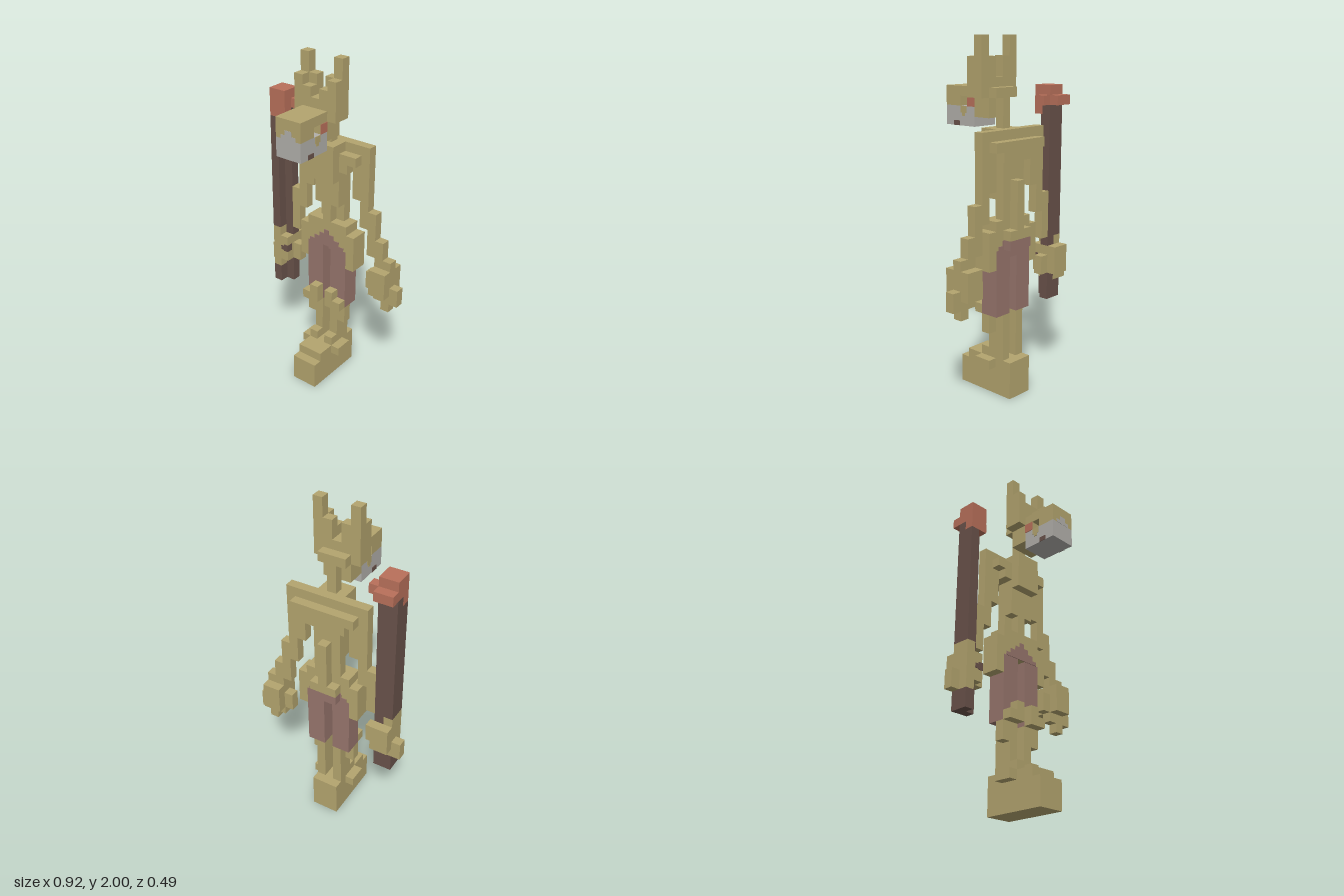
import * as THREE from 'three';

const U = 2 / 37; // edge of one block

const paint = (name, color) => {
  const m = new THREE.MeshStandardMaterial({ color });
  m.name = name;
  return m;
};

export function createModel() {
  const model = new THREE.Group();
  model.name = 'blockFigure';
  const tan = paint('tan', 0xb3a46e);
  const grey = paint('grey', 0xb1afaa);
  const brown = paint('brown', 0x69524a);
  const red = paint('red', 0xb8705a);
  const mauve = paint('mauve', 0x97756c);

  const part = (name) => {
    const g = new THREE.Group();
    g.name = name;
    model.add(g);
    return g;
  };
  // box given by its limits in blocks
  const box = (g, name, mat, x0, x1, y0, y1, z0, z1) => {
    const geo = new THREE.BoxGeometry((x1 - x0) * U, (y1 - y0) * U, (z1 - z0) * U);
    const mesh = new THREE.Mesh(geo, mat);
    mesh.name = name;
    mesh.position.set((x0 + x1) / 2 * U, (y0 + y1) / 2 * U, (z0 + z1) / 2 * U);
    g.add(mesh);
  };
  // the same box on one side (s = 1 left, -1 right)
  const side = (g, s, name, mat, x0, x1, ...r) =>
    s > 0 ? box(g, name, mat, x0, x1, ...r) : box(g, name, mat, -x1, -x0, ...r);
  const both = (...a) => [1, -1].forEach((s) => side(a[0], s, ...a.slice(1)));

  // stepped base
  const base = part('base');
  box(base, 'baseBlock', tan, -1.5, 1.5, 0, 3, -4.5, 2.5);
  box(base, 'baseStep', tan, -1.5, 1.5, 3, 4, -4.5, 1.5);
  both(base, 'baseStub', tan, 1.5, 2.5, 3, 4, -2.5, -0.5);

  // legs with trousers
  const legs = part('legs');
  both(legs, 'ankle', tan, 0.5, 1.5, 4, 5, -1.5, -0.5);
  both(legs, 'shin', tan, 0.5, 1.5, 4, 9, -3.5, -1.5);
  both(legs, 'calf', tan, 1.5, 2.5, 7, 9, -2.5, -1.5);
  both(legs, 'kneeLower', tan, 0.5, 2.5, 9, 10, -1.5, -0.5);
  both(legs, 'kneeUpper', tan, 0.5, 1.5, 10, 11, -1.5, -0.5);
  both(legs, 'trouserLeg', mauve, 0.5, 2.5, 9, 16, -3.5, -1.5);

  // hips, with the rounded top of the trousers in thin plates
  const hips = part('hips');
  both(hips, 'hipSide', tan, 2.5, 3.5, 14, 18, -3.5, -1.5);
  box(hips, 'crotch', mauve, -0.5, 0.5, 15, 16, -3.5, -2.5);
  box(hips, 'pelvis', tan, -2.5, 2.5, 16, 18, -3.5, -1.5);
  both(hips, 'hipTop', tan, 1.5, 2.5, 18, 19, -3.5, -1.5);
  box(hips, 'waistband', tan, -1.5, 1.5, 18, 19, -3.5, -1.5);
  box(hips, 'seatTop', tan, -1.5, 1.5, 17, 18, -4.5, -3.5);
  box(hips, 'seatBottom', mauve, -1.5, 1.5, 16, 17, -4.5, -3.5);
  [[2.2, 16, 16.4], [1.6, 16.4, 16.9], [0.9, 16.9, 17.4], [0.3, 17.4, 17.9]].forEach(([w, y0, y1]) => {
    box(hips, 'trouserFront', mauve, -w, w, y0, y1, -1.5, -1.42);
    box(hips, 'trouserBack', mauve, -w, w, y0, y1, -3.58, -3.5);
  });

  // torso
  const torso = part('torso');
  box(torso, 'waistBack', tan, -1.5, 1.5, 19, 21, -3.5, -2.5);
  box(torso, 'waistFront', tan, -0.5, 0.5, 19, 21, -2.5, -1.5);
  box(torso, 'belly', tan, -1.5, 1.5, 21, 25, -3.5, -1.5);
  box(torso, 'chest', tan, -1.5, 1.5, 24, 28, -1.5, -0.5);
  box(torso, 'chestCore', tan, -1.5, 1.5, 25, 28, -2.5, -1.5);
  box(torso, 'shoulders', tan, -4.5, 4.5, 25, 28, -3.5, -2.5);
  both(torso, 'collar', tan, 1.5, 3.5, 26, 27, -2.5, -1.5);
  both(torso, 'breast', tan, 1.5, 2.5, 25, 26, -2.5, -1.5);
  box(torso, 'shoulderBlades', tan, -3.5, 3.5, 26, 27, -4.5, -3.5);
  box(torso, 'upperBack', tan, -2.5, 2.5, 25, 26, -4.5, -3.5);
  box(torso, 'spine', tan, -0.5, 0.5, 18, 23, -4.5, -3.5);

  // arms and hands; the right hand grips the staff
  [1, -1].forEach((s) => {
    const arm = part(s > 0 ? 'leftArm' : 'rightArm');
    const add = (...a) => side(arm, s, ...a);
    add('upperArm', tan, 2.5, 4.5, 22, 25, -3.5, -2.5);
    add('elbowTop', tan, 3.5, 4.5, 21, 22, -3.5, -2.5);
    add('elbow', tan, 3.5, 5.5, 19, 21, -3.5, -2.5);
    add('forearm', tan, 4.5, 5.5, 16, 19, -3.5, -2.5);
    add('hand', tan, 5.5, 7.5, 12, 15, -4.5, -1.5);
    add('outerFinger', tan, 7.5, 8.5, 11, 13, -3.5, -2.5);
    add('thumb', tan, 4.5, 5.5, 12, 14, -3.5, -2.5);
    if (s > 0) {
      add('lowerForearm', tan, 5.5, 6.5, 16, 18, -3.5, -2.5);
      add('wrist', tan, 5.5, 7.5, 15, 16, -3.5, -2.5);
      add('knuckles', tan, 5.5, 7.5, 11, 12, -3.5, -2.5);
      add('fingertip', tan, 6.5, 7.5, 10, 11, -3.5, -2.5);
    } else {
      add('wrist', tan, 6.5, 7.5, 15, 16, -3.5, -1.5);
      add('knuckles', tan, 6.5, 7.5, 11, 12, -3.5, -1.5);
      add('gripGap', brown, 5.45, 6.0, 13.2, 14, -2.2, -1.42);
      add('gripGapInner', brown, 6.0, 6.4, 13.3, 13.8, -1.5, -1.42);
    }
  });

  // staff
  const staff = part('staff');
  box(staff, 'staffFoot', brown, -7.5, -6.5, 9, 11, -3.5, -1.5);
  box(staff, 'staffFootInner', brown, -6.5, -5.5, 9, 12, -3.5, -2.5);
  box(staff, 'staffShaft', brown, -7.5, -6.5, 16, 29, -3.5, -1.5);
  box(staff, 'staffShaftInner', brown, -6.5, -5.5, 15, 29, -3.5, -2.5);
  box(staff, 'staffCollar', brown, -7.5, -5.5, 29, 30, -3.5, -2.5);
  box(staff, 'staffHeadFront', red, -7.5, -5.5, 29, 32, -2.5, -1.5);
  box(staff, 'staffHead', red, -7.5, -5.5, 30, 32, -3.5, -2.5);
  box(staff, 'staffHeadBack', red, -7.5, -5.5, 30, 31, -4.5, -3.5);
  box(staff, 'staffKnob', red, -5.5, -4.5, 30, 31, -3.5, -2.5);

  // head, crest and ears
  const head = part('head');
  box(head, 'neck', tan, -0.5, 0.5, 28, 31, -2.5, -1.5);
  box(head, 'headBack', tan, -1.5, 1.5, 31, 32, -2.5, -1.5);
  box(head, 'skull', tan, -1.5, 1.5, 29, 33, -1.5, 0.5);
  both(head, 'crestFront', tan, 0.5, 1.5, 33, 34, -0.5, 0.5);
  both(head, 'crestBack', tan, 0.5, 1.5, 33, 35, -1.5, -0.5);
  both(head, 'earBase', tan, 1.5, 2.5, 31, 35, -1.5, 0.5);
  both(head, 'earTip', tan, 1.5, 2.5, 35, 37, -1.5, -0.5);

  // snout with sunken eyes
  box(head, 'jaw', grey, -1.5, 1.5, 28, 30, 0.5, 4.5);
  box(head, 'snoutTop', tan, -1.5, 1.5, 31, 32, 0.5, 4.5);
  box(head, 'snoutFront', tan, -1.5, 1.5, 30, 31, 2.5, 4.5);
  box(head, 'snoutBack', tan, -1.5, 1.5, 30, 31, 0.5, 1.5);
  box(head, 'eyeCore', grey, -0.5, 0.5, 30, 31, 1.5, 2.5);
  both(head, 'eyeCorner', red, 1.5, 1.56, 30, 31, 0.5, 1.5);
  both(head, 'cheekPatch', tan, 1.5, 1.56, 29.3, 30, 1.6, 2.4);
  both(head, 'cheekPatchTip', tan, 1.5, 1.56, 29, 29.3, 1.8, 2.2);
  both(head, 'mouthCorner', brown, 1.5, 1.56, 28, 28.5, 2.6, 3.4);
  box(head, 'noseLower', grey, -0.9, 0.9, 30, 30.4, 4.45, 4.53);
  box(head, 'noseUpper', grey, -0.4, 0.4, 30.4, 30.9, 4.45, 4.53);

  return model;
}
